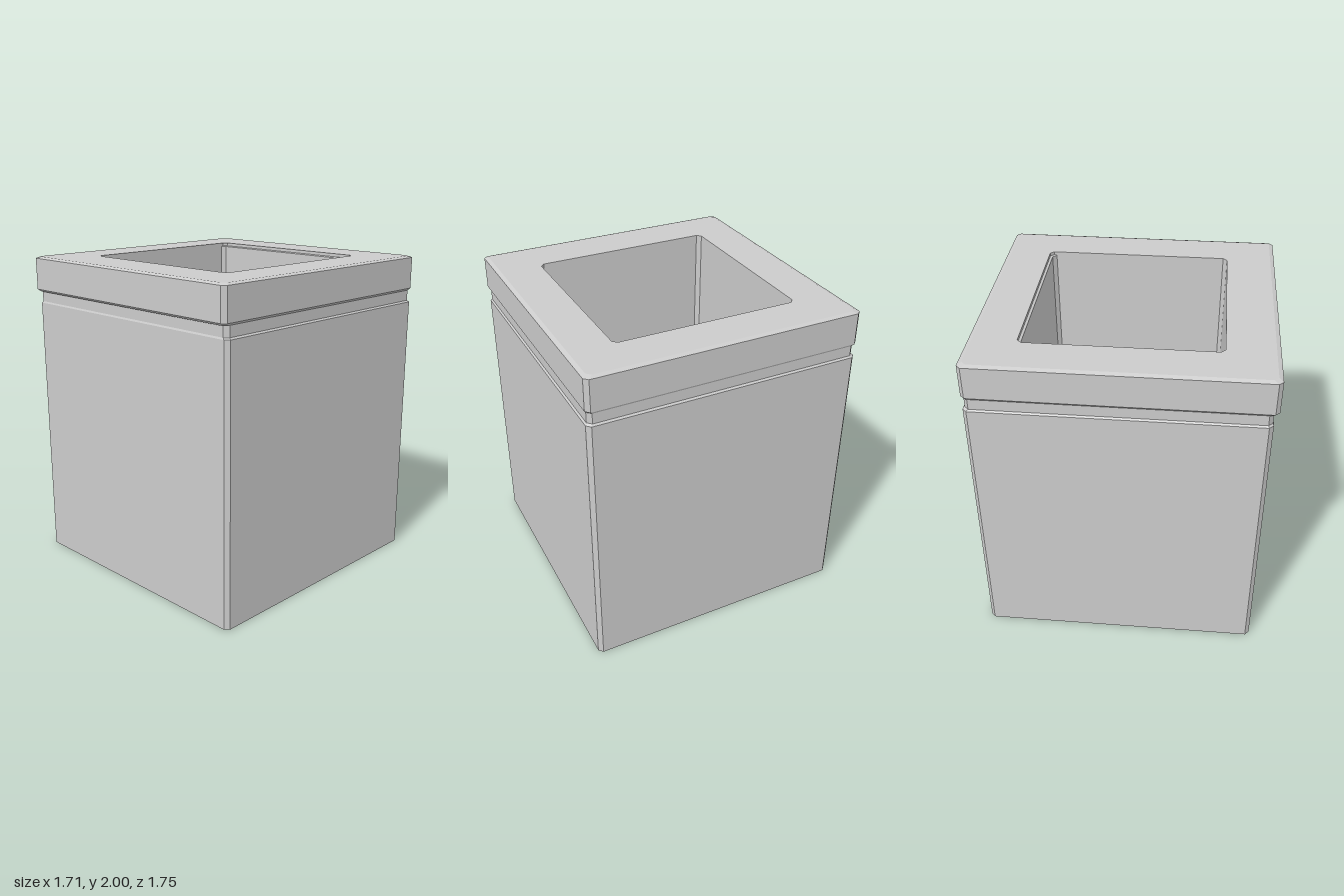
import * as THREE from 'three';

const CHAMFER = 0.025;

// Eight corners of a rectangle with cut corners, counter-clockwise from above
function ring([y, x0, x1, z0, z1, c = CHAMFER]) {
  return [
    [x1, y, z1 - c], [x1, y, z0 + c], [x1 - c, y, z0], [x0 + c, y, z0],
    [x0, y, z0 + c], [x0, y, z1 - c], [x0 + c, y, z1], [x1 - c, y, z1],
  ];
}

// Skin a list of rings, optionally closing the first (downward) or last (upward)
function loft(name, sections, material, { capStart = false, capEnd = false } = {}) {
  const rings = sections.map(ring);
  const pos = [];
  const tri = (a, b, c) => pos.push(...a, ...b, ...c);
  for (let i = 0; i < rings.length - 1; i++) {
    for (let j = 0; j < 8; j++) {
      const k = (j + 1) % 8;
      const [a, b, c, d] = [rings[i][j], rings[i][k], rings[i + 1][k], rings[i + 1][j]];
      tri(a, b, c);
      tri(a, c, d);
    }
  }
  const first = rings[0], last = rings[rings.length - 1];
  for (let j = 1; j < 7; j++) {
    if (capStart) tri(first[0], first[j + 1], first[j]);
    if (capEnd) tri(last[0], last[j], last[j + 1]);
  }
  const geometry = new THREE.BufferGeometry();
  geometry.setAttribute('position', new THREE.Float32BufferAttribute(pos, 3));
  geometry.computeVertexNormals();
  const mesh = new THREE.Mesh(geometry, material);
  mesh.name = name;
  return mesh;
}

export function createModel() {
  const group = new THREE.Group();
  group.name = 'squarePlanter';
  const material = new THREE.MeshStandardMaterial({
    color: 0xcccccc, flatShading: true, side: THREE.DoubleSide,
  });

  // Extents: [y, x0, x1, z0, z1, corner cut]
  const neckBox = [-0.845, 0.845, -0.862, 0.845];
  const hole = [-0.58, 0.575, -0.58, 0.57];

  // Box body with a small bevel leading into the neck groove
  group.add(loft('body', [
    [0, -0.855, 0.855, -0.873, 0.85],
    [1.702, -0.855, 0.855, -0.873, 0.85],
    [1.712, ...neckBox],
  ], material, { capStart: true }));

  // Recessed neck between body and rim
  group.add(loft('neck', [
    [1.712, ...neckBox],
    [1.778, ...neckBox],
  ], material));

  // Rim: bevelled underside, sides, bevelled top and the flat frame around the opening
  group.add(loft('rim', [
    [1.778, ...neckBox],
    [1.778, -0.845, 0.845, -0.865, 0.86],
    [1.792, -0.857, 0.857, -0.875, 0.875],
    [1.99, -0.857, 0.857, -0.875, 0.875],
    [2, -0.832, 0.832, -0.85, 0.85],
    [2, -0.58, 0.575, -0.595, 0.57],
  ], material));

  // Well: narrow step at the back edge, straight walls and floor
  group.add(loft('well', [
    [2, -0.58, 0.575, -0.595, 0.57],
    [1.98, -0.58, 0.575, -0.595, 0.57],
    [1.975, ...hole],
    [0.2, ...hole],
  ], material, { capEnd: true }));

  return group;
}
